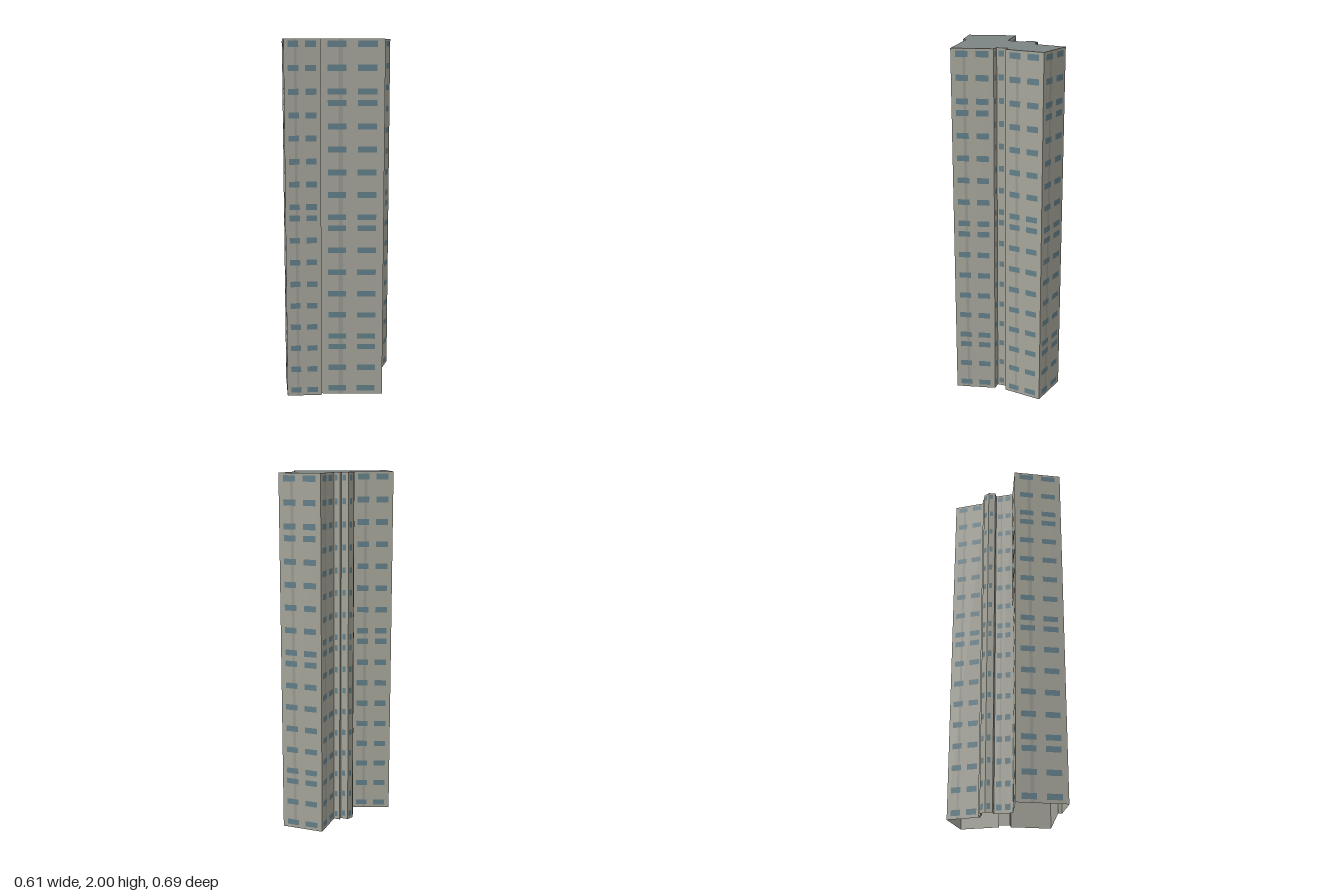
import * as THREE from 'three';
import { mergeGeometries } from 'three/addons/utils/BufferGeometryUtils.js';

const HEIGHT = 2;

// Footprint corners as [x, z], running clockwise seen from above
const FOOTPRINT = [
  [-0.008, -0.346], [0.228, -0.326], [0.217, -0.104], [0.177, -0.1],
  [0.183, -0.036], [0.227, -0.04], [0.303, 0.174], [-0.031, 0.261],
  [-0.025, 0.281], [-0.21, 0.344], [-0.304, 0.087], [-0.088, 0.033],
  [-0.083, -0.07], [-0.119, -0.07], [-0.127, -0.109], [-0.106, -0.143],
  [-0.064, -0.138], [-0.062, -0.16], [-0.027, -0.156],
];

// Upright panel on the wall a-b; u0..u1 runs left to right seen from outside
function panel([ax, az], [bx, bz], u0, u1, y, height, offset) {
  const dx = bx - ax, dz = bz - az, length = Math.hypot(dx, dz);
  const nx = dz / length, nz = -dx / length;
  const t = 1 - (u0 + u1) / 2;
  return new THREE.PlaneGeometry(length * (u1 - u0), height)
    .rotateY(Math.atan2(nx, nz))
    .translate(ax + dx * t + nx * offset, y, az + dz * t + nz * offset);
}

// Heights of the window rows; a half step closes up the rows at each seam
function windowRows(wide) {
  const rows = [];
  for (let i = 0; i < (wide ? 18 : 17); i++) {
    const seams = wide ? Math.floor((i + 3) / 6) : Math.floor(i / 9);
    rows.push(0.034 + 0.125 * i - 0.0625 * seams);
  }
  return rows;
}

export function createModel() {
  const group = new THREE.Group();
  const add = (name, geometry, color) => {
    const material = new THREE.MeshStandardMaterial({ color, side: THREE.DoubleSide });
    const mesh = new THREE.Mesh(geometry, material);
    mesh.name = name;
    group.add(mesh);
  };

  const walls = [], strips = [], windows = [];
  FOOTPRINT.forEach((a, i) => {
    const b = FOOTPRINT[(i + 1) % FOOTPRINT.length];
    const length = Math.hypot(b[0] - a[0], b[1] - a[1]);
    walls.push(panel(a, b, 0, 1, HEIGHT / 2, HEIGHT, 0));
    if (length < 0.03) return;

    // Narrow walls carry one window per row, the others two and a dark strip
    const narrow = length < 0.08;
    const columns = narrow ? [[0.18, 0.64]] : [[0.11, 0.4], [0.58, 0.88]];
    if (!narrow) strips.push(panel(a, b, 0.28, 0.35, HEIGHT / 2, HEIGHT, 0.0007));
    for (const y of windowRows(length > 0.225)) {
      for (const [u0, u1] of columns) windows.push(panel(a, b, u0, u1, y, 0.032, 0.0015));
    }
  });
  add('walls', mergeGeometries(walls), 0xa8a79c);
  add('facadeStrips', mergeGeometries(strips), 0x9a9a92);
  add('windows', mergeGeometries(windows), 0x64808a);

  // Flat roof; the underside of the tower stays open
  const outline = new THREE.Shape(FOOTPRINT.map(([x, z]) => new THREE.Vector2(x, -z)));
  const roof = new THREE.ShapeGeometry(outline).rotateX(-Math.PI / 2).translate(0, HEIGHT, 0);
  add('roof', roof, 0x7c8583);

  return group;
}
